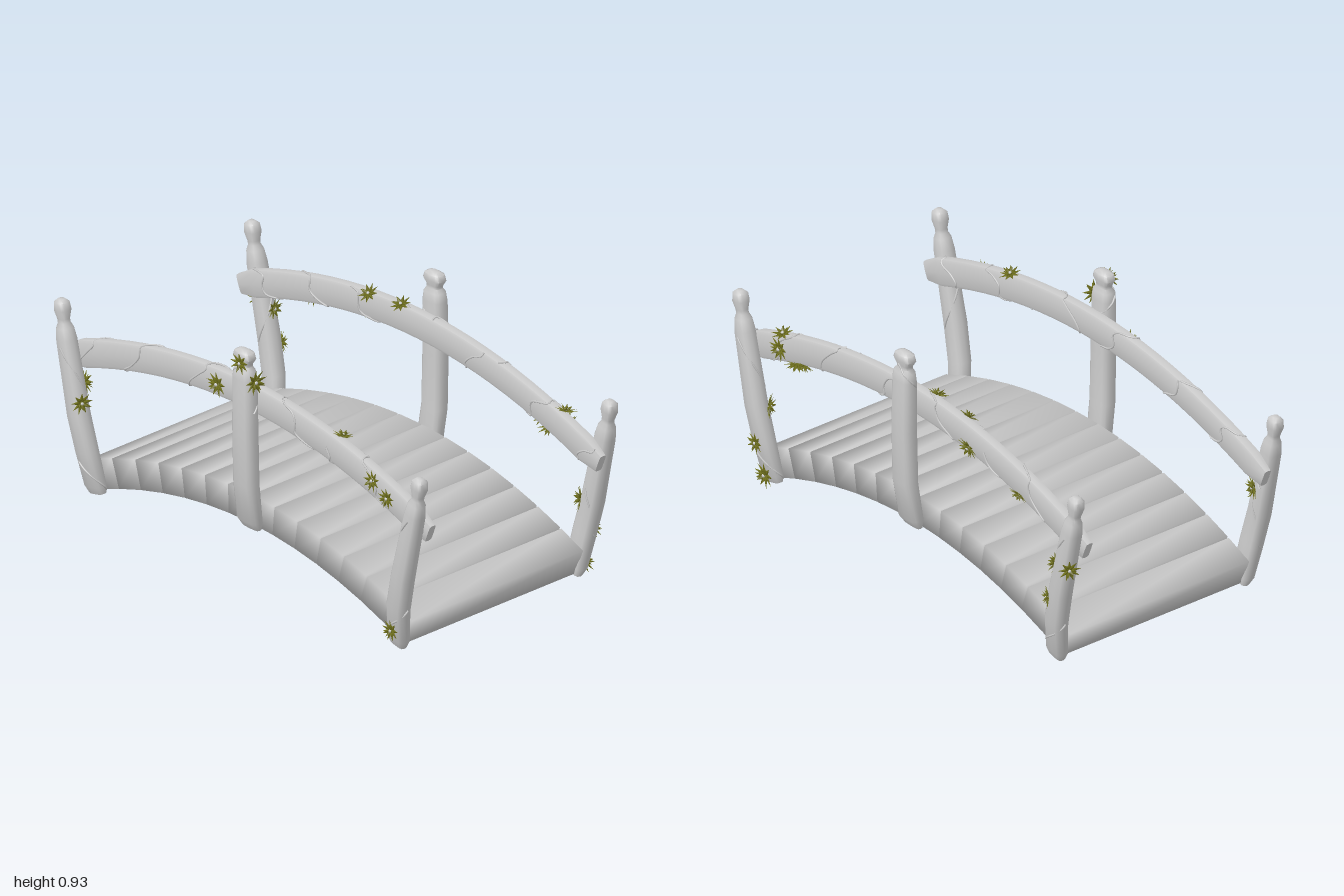
import * as THREE from 'three';
import { mergeVertices, mergeGeometries, toCreasedNormals } from 'three/addons/utils/BufferGeometryUtils.js';

const MID = -0.01; // mid plane of the woodwork
const V = (x, y, z) => new THREE.Vector3(x, y, z);
const deckY = z => 0.268 - 0.25 * z * z;
const railY = z => 0.735 - 0.21 * z * z;
const soft = (v, power) => Math.sign(v) * Math.abs(v) ** power;

// Closed loft through rounded-box sections { x, y, z, hx, hn }; hn lies in the yz plane
function loft(sections, power, n = 12) {
  const pos = [], index = [], last = sections.length - 1;
  sections.forEach((s, i) => {
    const p = sections[Math.max(i - 1, 0)], q = sections[Math.min(i + 1, last)];
    const t = new THREE.Vector2(q.y - p.y, q.z - p.z).normalize();
    for (let j = 0; j < n; j++) {
      const a = j / n * Math.PI * 2;
      const u = soft(Math.cos(a), power) * s.hx, v = soft(Math.sin(a), power) * s.hn;
      pos.push(s.x + u, s.y + t.y * v, s.z - t.x * v);
      if (i < last) {
        const k = i * n + j, m = i * n + (j + 1) % n;
        index.push(k, m, k + n, m, m + n, k + n);
      }
    }
  });
  // end caps
  const c0 = pos.length / 3, top = last * n;
  for (const s of [sections[0], sections[last]]) pos.push(s.x, s.y, s.z);
  for (let j = 0; j < n; j++) {
    const m = (j + 1) % n;
    index.push(c0, m, j, c0 + 1, top + j, top + m);
  }
  const g = new THREE.BufferGeometry();
  g.setAttribute('position', new THREE.Float32BufferAttribute(pos, 3));
  g.setIndex(index);
  return toCreasedNormals(g, 0.95);
}

// Post stations: y, z, half width in x, half depth, x
const cornerPost = [
  [0.03, 0.815, 0.018, 0.036, 0.432], [0.06, 0.822, 0.028, 0.045, 0.437],
  [0.2, 0.845, 0.034, 0.045, 0.458], [0.34, 0.88, 0.036, 0.043, 0.467],
  [0.62, 0.945, 0.033, 0.037, 0.467], [0.665, 0.955, 0.028, 0.031, 0.467],
  [0.685, 0.959, 0.02, 0.022, 0.467], [0.7, 0.962, 0.02, 0.022, 0.467],
  [0.735, 0.968, 0.027, 0.031, 0.467], [0.765, 0.972, 0.024, 0.027, 0.467],
  [0.776, 0.973, 0.012, 0.014, 0.467]];
const middlePost = [
  [0.205, 0.018, 0.014, 0.045, 0.43], [0.24, 0.018, 0.028, 0.055, 0.44],
  [0.4, 0.024, 0.034, 0.051, 0.462], [0.62, 0.024, 0.035, 0.05, 0.467],
  [0.83, 0.022, 0.033, 0.048, 0.467], [0.865, 0.021, 0.029, 0.043, 0.467],
  [0.88, 0.02, 0.021, 0.031, 0.467], [0.892, 0.02, 0.021, 0.033, 0.467],
  [0.915, 0.02, 0.028, 0.047, 0.467], [0.937, 0.02, 0.025, 0.04, 0.467],
  [0.946, 0.02, 0.012, 0.02, 0.467]];

const postGeometry = (stations, sx, sz) => loft(stations.map(([y, z, hx, hn, x]) =>
  ({ x: MID + sx * x, y, z: sz * z, hx, hn })), 0.6);

// Point on a post's surface: angle 0 is outward, a quarter turn is towards +z
function onPost(stations, sx, sz, y, angle, lift) {
  const k = Math.max(1, stations.findIndex(s => s[0] >= y));
  const A = stations[k - 1], B = stations[k], f = (y - A[0]) / (B[0] - A[0]);
  const [, z, hx, hz, x] = A.map((v, j) => v + (B[j] - v) * f);
  return V(MID + sx * (x + (hx + lift) * Math.cos(angle)), y, sz * z + (hz + lift) * Math.sin(angle));
}

// Point on a handrail's surface: angle 0 is outward, a quarter turn is up
const onRail = (sx, z, angle) => V(
  MID + sx * (0.418 + 0.026 * soft(Math.cos(angle), 0.5)),
  railY(z) + 0.058 * soft(Math.sin(angle), 0.7), z);

// Handrail: arched beam with slightly rounded ends
function railGeometry(sx) {
  const sections = [];
  for (let i = 0; i <= 24; i++) {
    const z = -0.975 + 1.95 * i / 24, end = i === 0 || i === 24 ? 0.7 : 1;
    sections.push({ x: MID + sx * 0.418, y: railY(z), z, hx: 0.023 * end, hn: 0.055 * end });
  }
  return loft(sections, 0.4);
}

// Vine through points given by a function of 0..1
function vineGeometry(pointAt, n) {
  const points = Array.from({ length: n + 1 }, (_, i) => pointAt(i / n));
  return new THREE.TubeGeometry(new THREE.CatmullRomCurve3(points), n * 4, 0.0038, 5);
}

// Vine winding along a stretch of handrail
const railVine = (sx, z0, z1, turns, phase) => vineGeometry(t => onRail(sx,
  z0 + (z1 - z0) * t + 0.02 * Math.sin(t * turns * 20), phase + t * turns * Math.PI * 2), turns * 12);

// Vine climbing a post between two heights
const postVine = (stations, sx, sz, y0, y1, turns, phase) => vineGeometry(t => onPost(stations, sx, sz,
  y0 + (y1 - y0) * t, sz * (phase + t * turns * Math.PI * 2), 0.002), 20);

// Star of pointed leaves facing +z: a flat ring and a raised ring
function leafStar() {
  const leaves = [];
  for (const [count, len, tilt, turn] of [[9, 0.052, 0.2, 0], [6, 0.038, 0.75, 0.3]]) {
    for (let i = 0; i < count; i++) {
      const tip = new THREE.ConeGeometry(0.0085, len * 0.65, 4).translate(0, len * 0.675, 0);
      const base = new THREE.ConeGeometry(0.0085, len * 0.35, 4).rotateX(Math.PI).translate(0, len * 0.175, 0);
      const leaf = mergeGeometries([tip, base]);
      leaf.scale(1, 1, 0.35).rotateX(tilt).rotateZ(turn + i / count * Math.PI * 2);
      leaves.push(leaf);
    }
  }
  return mergeGeometries(leaves);
}

// Plants on the handrails: side, z, angle in degrees
const railPlants = [
  [1, 0.77, 0], [1, 0.77, 75], [1, 0.64, -60], [1, 0.69, -80], [1, -0.09, 115], [1, -0.26, 130],
  [1, -0.32, -20], [1, -0.61, -35], [-1, 0.485, 105], [-1, -0.15, 0], [-1, 0.69, 10], [-1, 0.77, 0]];
// Plants on the posts: side, end (0 is the middle post), y, angle in degrees
const postPlants = [
  [1, 1, 0.065, 0], [1, 1, 0.2, 0], [1, -1, 0.315, 30], [1, 1, 0.335, 230], [1, -1, 0.455, 80],
  [1, -1, 0.465, -65], [-1, 0, 0.83, 90], [-1, 0, 0.9, 10], [-1, 1, 0.105, 0],
  [-1, -1, 0.455, 160], [-1, -1, 0.4, 70]];

export function createModel() {
  const model = new THREE.Group();
  const wood = new THREE.MeshStandardMaterial({ color: 0xcccccc });
  const green = new THREE.MeshStandardMaterial({ color: 0x74751f, side: THREE.DoubleSide });
  const add = (name, geometry, material = wood, parent = model) => {
    const mesh = new THREE.Mesh(geometry, material);
    mesh.name = name;
    parent.add(mesh);
    return mesh;
  };

  // Deck: soft-shaded planks laid along the arch
  const deck = new THREE.Group();
  deck.name = 'deck';
  model.add(deck);
  for (let i = 0; i < 14; i++) {
    const z = (i - 6.5) * 0.1225, slope = Math.atan(0.5 * z);
    let g = new THREE.BoxGeometry(0.84, 0.116, 0.118 / Math.cos(slope));
    g.deleteAttribute('normal');
    g.deleteAttribute('uv');
    g = mergeVertices(g);
    g.computeVertexNormals();
    const plank = add('plank', g, wood, deck);
    plank.position.set(MID, deckY(z), z);
    plank.rotation.x = slope;
  }

  // Sides: posts, handrail and vines
  for (const sx of [1, -1]) {
    for (const sz of [1, -1]) {
      add('cornerPost', postGeometry(cornerPost, sx, sz));
      add('postVine', postVine(cornerPost, sx, sz, 0.32, 0.6, 0.6, 2.6));
      add('postVine', postVine(cornerPost, sx, sz, 0.035, 0.2, 0.7, 3.6));
      add('railVine', railVine(sx, sz * 0.96, sz * 0.42, 2, sx + sz));
      add('railVine', railVine(sx, sz * 0.36, sz * 0.06, 1, 2 * sx));
    }
    add('middlePost', postGeometry(middlePost, sx, 1));
    add('postVine', postVine(middlePost, sx, 1, 0.7, 0.9, 0.8, 1.5));
    add('handrail', railGeometry(sx));
  }

  // Leafy plants with a small grey bud
  const star = leafStar(), bud = new THREE.SphereGeometry(0.008, 8, 6).translate(0, 0, 0.008);
  const addPlant = (position, normal, i) => {
    const plant = new THREE.Group();
    plant.name = 'plant';
    add('leaves', star, green, plant);
    add('bud', bud, wood, plant);
    plant.position.copy(position);
    plant.quaternion.setFromUnitVectors(V(0, 0, 1), normal);
    plant.rotateZ(i * 0.7);
    plant.scale.setScalar(i % 3 ? 0.85 : 1);
    model.add(plant);
  };
  railPlants.forEach(([sx, z, degrees], i) => {
    const a = degrees * Math.PI / 180;
    addPlant(onRail(sx, z, a), V(sx * Math.cos(a), Math.sin(a), 0), i);
  });
  postPlants.forEach(([sx, end, y, degrees], i) => {
    const a = degrees * Math.PI / 180;
    const point = onPost(end ? cornerPost : middlePost, sx, end || 1, y, a, 0.004);
    addPlant(point, V(sx * Math.cos(a), 0, Math.sin(a)), i);
  });
  return model;
}
